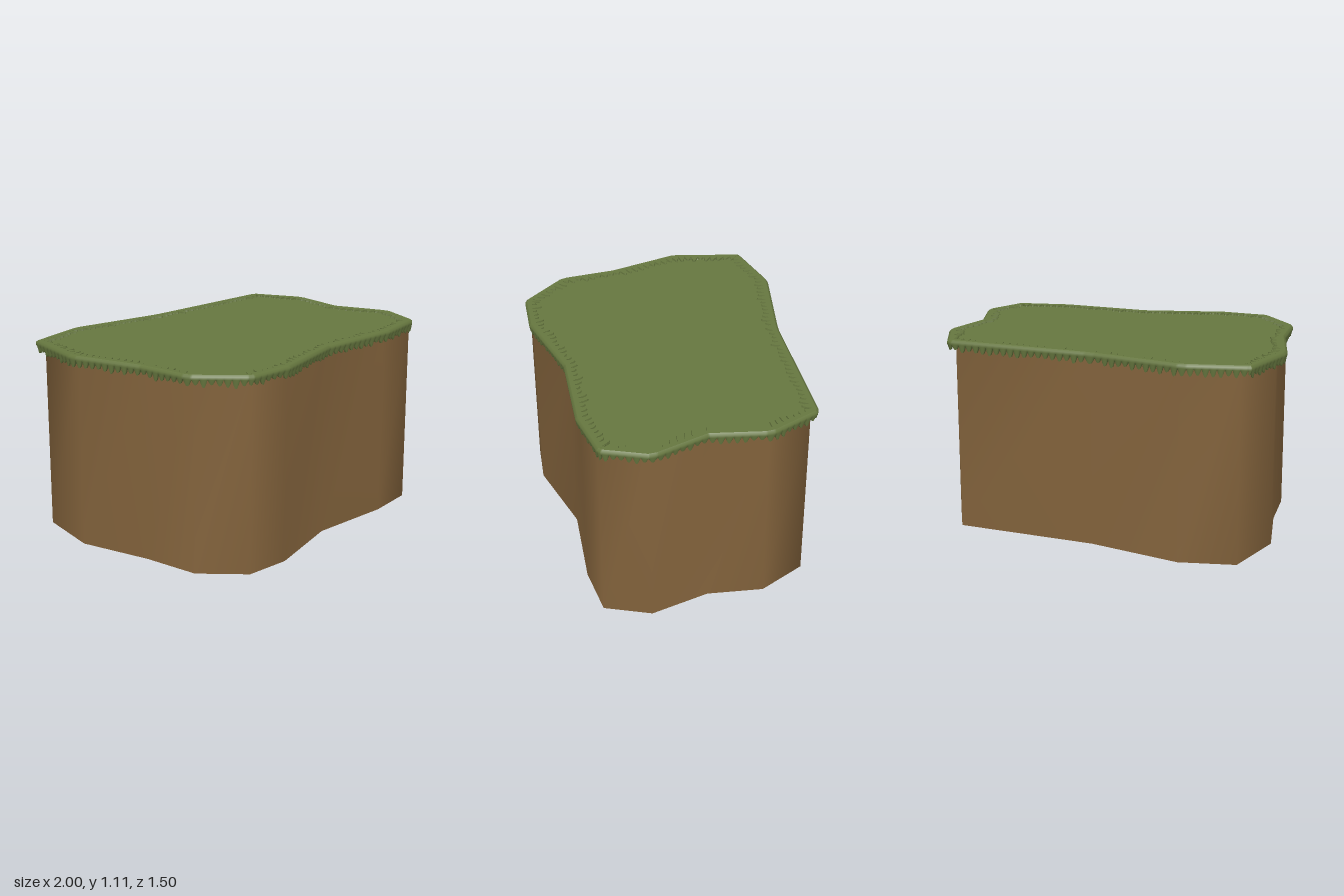
import * as THREE from 'three';

// Outlines as [x, z], running clockwise seen from above
const RIM = [
  [-0.88, -0.70], [-0.86, -0.705], [-0.54, -0.75], [-0.49, -0.747], [0.0, -0.617], [0.06, -0.605],
  [0.87, -0.51], [0.898, -0.493], [0.995, -0.22], [0.995, -0.17], [0.92, 0.12], [0.997, 0.42],
  [0.997, 0.47], [0.885, 0.69], [0.86, 0.705], [0.56, 0.737], [0.04, 0.67], [-0.45, 0.752],
  [-0.71, 0.717], [-0.74, 0.697], [-0.915, 0.46], [-0.927, 0.41], [-0.927, 0.12], [-1.0, -0.28], [-0.997, -0.33],
];
const EARTH = [
  [-0.82, -0.685], [-0.5, -0.73], [0.03, -0.575], [0.85, -0.475], [0.965, -0.2], [0.905, 0.11], [0.965, 0.45],
  [0.84, 0.695], [0.54, 0.708], [0.04, 0.64], [-0.45, 0.73], [-0.71, 0.69], [-0.885, 0.45], [-0.89, 0.12], [-0.945, -0.31],
];

let seed = 7;
const rand = () => (seed = (seed * 16807) % 2147483647) / 2147483647;

// Outline corners with their averaged outward direction
function makeCorners(outline) {
  const n = outline.length;
  const edgeNormal = (i) => {
    const a = outline[(i + n) % n], b = outline[(i + 1) % n];
    return new THREE.Vector2(b[1] - a[1], a[0] - b[0]).normalize();
  };
  return outline.map(([x, z], i) => ({
    p: new THREE.Vector2(x, z),
    n: edgeNormal(i - 1 + n).add(edgeNormal(i)).normalize(),
  }));
}

// Closed band joining rows of points; section(sample) returns [offset, y] pairs
function band(samples, section) {
  const pos = [], idx = [];
  const rows = section(samples[0]).length, count = samples.length;
  for (const s of samples) {
    for (const [d, y] of section(s)) {
      pos.push(s.p.x + s.n.x * d, y, s.p.y + s.n.y * d);
    }
  }
  for (let i = 0; i < count; i++) {
    for (let r = 0; r < rows - 1; r++) {
      const a = i * rows + r, b = ((i + 1) % count) * rows + r;
      idx.push(a, b, b + 1, a, b + 1, a + 1);
    }
  }
  const g = new THREE.BufferGeometry();
  g.setAttribute('position', new THREE.Float32BufferAttribute(pos, 3));
  g.setIndex(idx);
  g.computeVertexNormals();
  return g;
}

// Flat sheet filling the earth outline, facing up or down
function sheet(y, up) {
  const s = up ? -1 : 1;
  const pts = EARTH.map(([x, z]) => new THREE.Vector2(x, s * z));
  return new THREE.ShapeGeometry(new THREE.Shape(pts)).rotateX((s * Math.PI) / 2).translate(0, y, 0);
}

// Fine samples along the rim, six to each grass blade
function bladeSamples() {
  const out = [], wave = [0, 0.5, 0.88, 1, 0.88, 0.5];
  const corners = makeCorners(RIM);
  corners.forEach((a, i) => {
    const b = corners[(i + 1) % corners.length];
    const blades = Math.max(1, Math.round(a.p.distanceTo(b.p) / 0.042));
    for (let k = 0; k < blades; k++) {
      const hang = 0.55 + 0.45 * rand(), lie = 0.4 + 0.6 * rand();
      wave.forEach((w, j) => {
        const t = (k + j / wave.length) / blades;
        out.push({
          p: a.p.clone().lerp(b.p, t),
          n: a.n.clone().lerp(b.n, t).normalize(),
          down: 1.083 - 0.048 * w * hang,
          inward: -0.035 - 0.055 * w * lie,
        });
      });
    }
  });
  return out;
}

export function createModel() {
  const earth = new THREE.MeshStandardMaterial({ color: 0x83633c });
  const grass = new THREE.MeshStandardMaterial({ color: 0x66773f, side: THREE.DoubleSide });
  const base = new THREE.MeshStandardMaterial({ color: 0xc0c0c0 });
  earth.name = 'earth brown';
  grass.name = 'grass green';
  base.name = 'base grey';

  const group = new THREE.Group();
  group.name = 'grassyEarthBlock';
  const add = (name, geometry, material) => {
    const mesh = new THREE.Mesh(geometry, material);
    mesh.name = name;
    group.add(mesh);
  };

  // Earth body, its underside and the turf surface
  add('earthWall', band(makeCorners(EARTH), () => [[0, 1.1], [0, 0]]), earth);
  add('underside', sheet(0, false), base);
  add('turfTop', sheet(1.1, true), grass);

  // Ragged rim: blades lying inward on top and hanging down outside
  const blades = bladeSamples();
  add('rimTop', band(blades, (s) => [[s.inward, 1.11], [-0.012, 1.11]]), grass);
  add('rimSide', band(blades, (s) => [[-0.012, 1.11], [0, 1.10], [0, 1.085], [-0.008, s.down]]), grass);

  // Thin cut edges that give the blades thickness
  add('rimTopEdge', band(blades, (s) => [[s.inward - 0.003, 1.1], [s.inward, 1.11]]), grass);
  add('rimSideEdge', band(blades, (s) => [[-0.008, s.down], [-0.02, s.down + 0.002]]), grass);

  return group;
}
